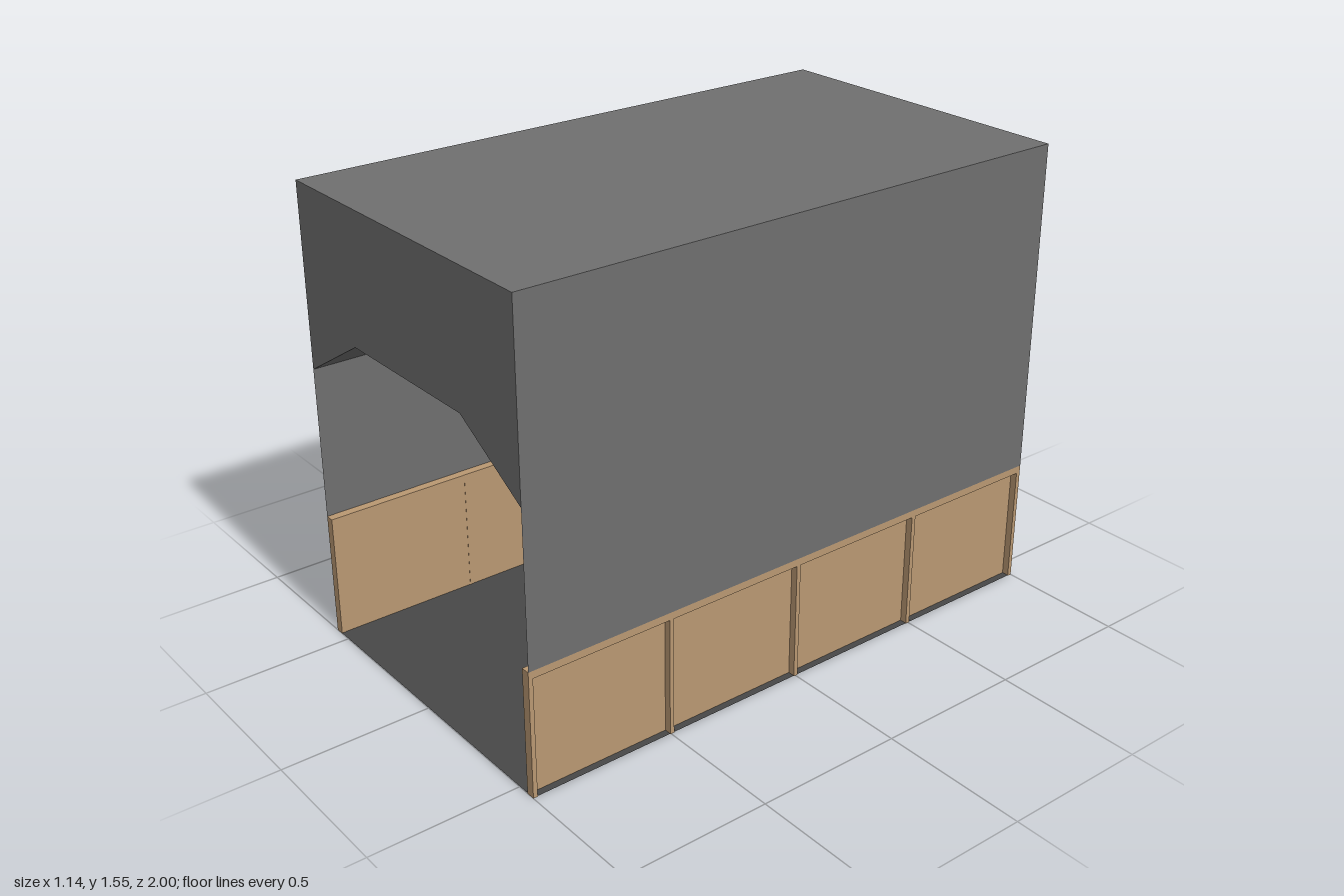
import * as THREE from 'three';

export function createModel() {
  const group = new THREE.Group();
  const mat = (name, color, side = THREE.FrontSide) => {
    const m = new THREE.MeshStandardMaterial({ color, side });
    m.name = name;
    return m;
  };
  const grey = mat('wall grey', 0x6f6f6f, THREE.DoubleSide);
  const dark = mat('floor grey', 0x484848, THREE.DoubleSide);
  const wood = mat('wood', 0xb99872);

  const add = (name, geometry, material, x = 0, y = 0, z = 0) => {
    const mesh = new THREE.Mesh(geometry, material);
    mesh.name = name;
    mesh.position.set(x, y, z);
    group.add(mesh);
    return mesh;
  };
  const box = (name, w, h, d, x, y, z) =>
    add(name, new THREE.BoxGeometry(w, h, d), wood, x, y, z);

  const W = 0.57, railY = 0.425, postW = 0.015, depth = 0.03;

  // Floor sheet
  add('floor', new THREE.PlaneGeometry(2 * W, 2).rotateX(-Math.PI / 2), dark, 0, 0.002);

  // Ceiling block with sloped inner corners
  const section = new THREE.Shape([
    [-W, 0.94], [-0.285, 1.11], [0.285, 1.11], [W, 0.94], [W, 1.55], [-W, 1.55],
  ].map(([x, y]) => new THREE.Vector2(x, y)));
  add('ceiling', new THREE.ExtrudeGeometry(section, { depth: 2, bevelEnabled: false }), grey, 0, 0, -1);

  for (const s of [1, -1]) {
    // Upper wall sheet
    const wallH = 0.94 - railY;
    add('wall', new THREE.PlaneGeometry(2, wallH).rotateY(s * Math.PI / 2), grey, s * W, railY + wallH / 2, 0);

    // Wainscot: top rail, posts and thin panels set towards the inside
    const x = s * (W - depth / 2);
    box('topRail', depth, 0.025, 2, x, railY - 0.0125, 0);
    for (let i = 0; i < 5; i++) {
      const z = (i - 2) * (1 - postW / 2) / 2;
      box('post', depth, 0.4, postW, x, 0.2, z);
      if (i < 4) {
        const pitch = (1 - postW / 2) / 2;
        box('panel', 0.005, 0.4, pitch - postW, s * (W - depth + 0.0035), 0.2, z + pitch / 2);
      }
    }
  }

  // Sill strip under one edge of the floor
  add('sill', new THREE.PlaneGeometry(depth, 2).rotateX(Math.PI / 2), wood, -W + depth / 2, 0, 0);

  return group;
}
